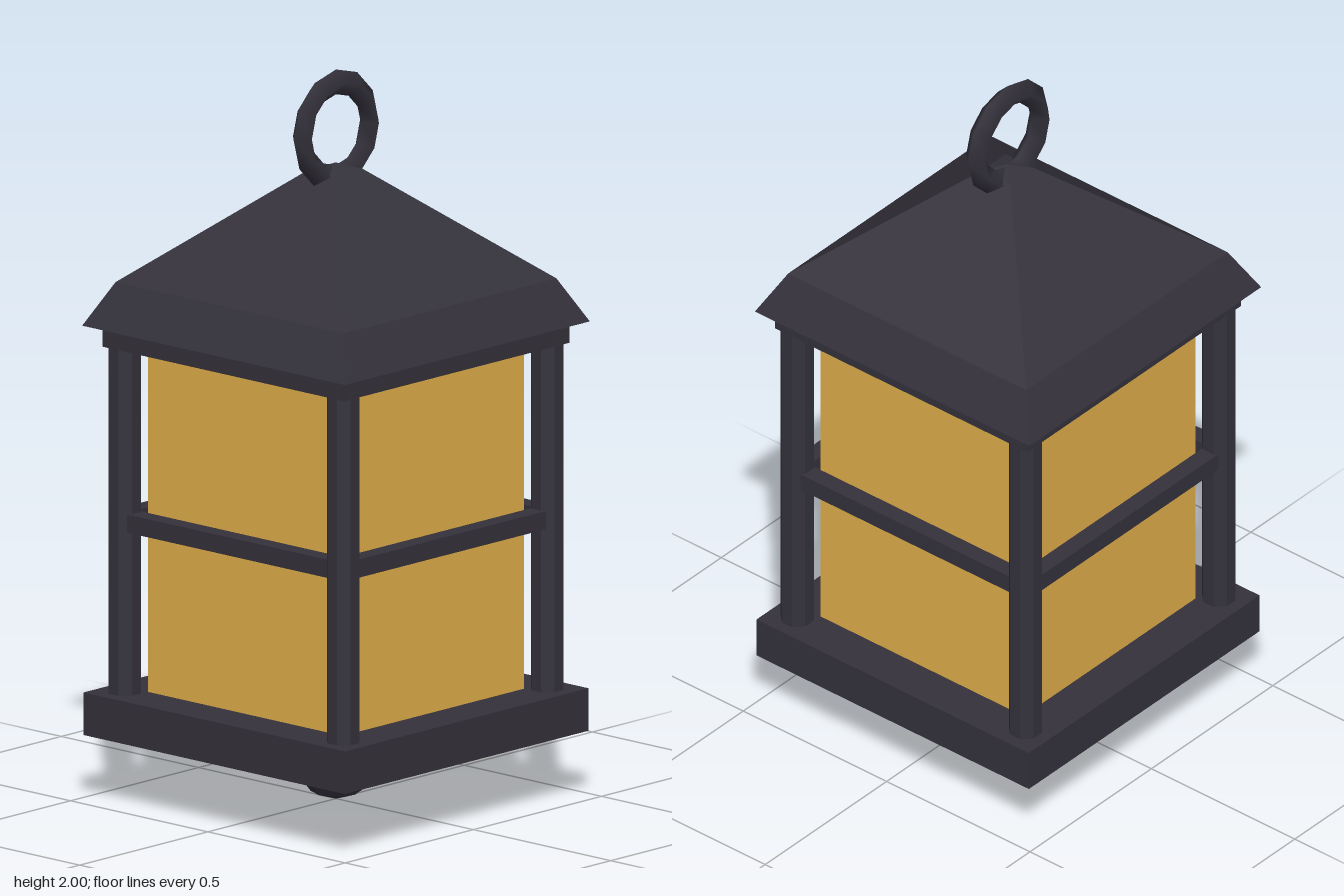
import * as THREE from 'three';

export function createModel() {
  const model = new THREE.Group();
  model.name = 'lantern';
  const metal = new THREE.MeshStandardMaterial({ color: 0x34313b, flatShading: true });
  const smoothMetal = new THREE.MeshStandardMaterial({ color: 0x34313b });
  const glass = new THREE.MeshStandardMaterial({ color: 0xe0ae4a, flatShading: true });

  function add(name, geometry, material, x = 0, y = 0, z = 0, parent = model) {
    const mesh = new THREE.Mesh(geometry, material);
    mesh.name = name;
    mesh.position.set(x, y, z);
    parent.add(mesh);
    return mesh;
  }

  // Box given by its width, depth and the heights of its bottom and top
  function slab(name, w, d, y0, y1, material) {
    return add(name, new THREE.BoxGeometry(w, y1 - y0, d), material, 0, (y0 + y1) / 2, 0);
  }

  // Bottom knob, base, glass body and top frame
  add('finial', new THREE.SphereGeometry(0.115, 8, 5), metal, 0, 0.115, 0);
  slab('base', 0.95, 0.95, 0.18, 0.297, metal);
  slab('glass', 0.708, 0.708, 0.297, 1.25, glass);
  slab('topFrame', 0.88, 0.88, 1.245, 1.305, metal);

  // Eight-sided corner posts
  const postGeometry = new THREE.CylinderGeometry(0.0465, 0.0465, 0.97, 8);
  postGeometry.rotateY(Math.PI / 8);
  for (const x of [-1, 1]) {
    for (const z of [-1, 1]) add('cornerPost', postGeometry, metal, x * 0.398, 0.775, z * 0.398);
  }

  // One crossbar per side, between the posts
  const barGeometry = new THREE.BoxGeometry(0.735, 0.05, 0.05);
  for (let i = 0; i < 4; i++) {
    const side = new THREE.Group();
    side.name = 'crossbarSide';
    side.rotation.y = (i * Math.PI) / 2;
    add('crossbar', barGeometry, metal, 0, 0.77, 0.4, side);
    model.add(side);
  }

  // Square roof: steep eave, main slope and blunt peak (half width, height)
  const roofProfile = [[0, 1.303], [0.478, 1.303], [0.415, 1.422], [0.05, 1.727], [0, 1.745]]
    .map(([w, y]) => new THREE.Vector2(w * Math.SQRT2, y));
  add('roof', new THREE.LatheGeometry(roofProfile, 4, Math.PI / 4), metal);

  // Hanging ring
  add('hangingRing', new THREE.TorusGeometry(0.131, 0.034, 4, 12), smoothMetal, 0, 1.835, 0);

  return model;
}
